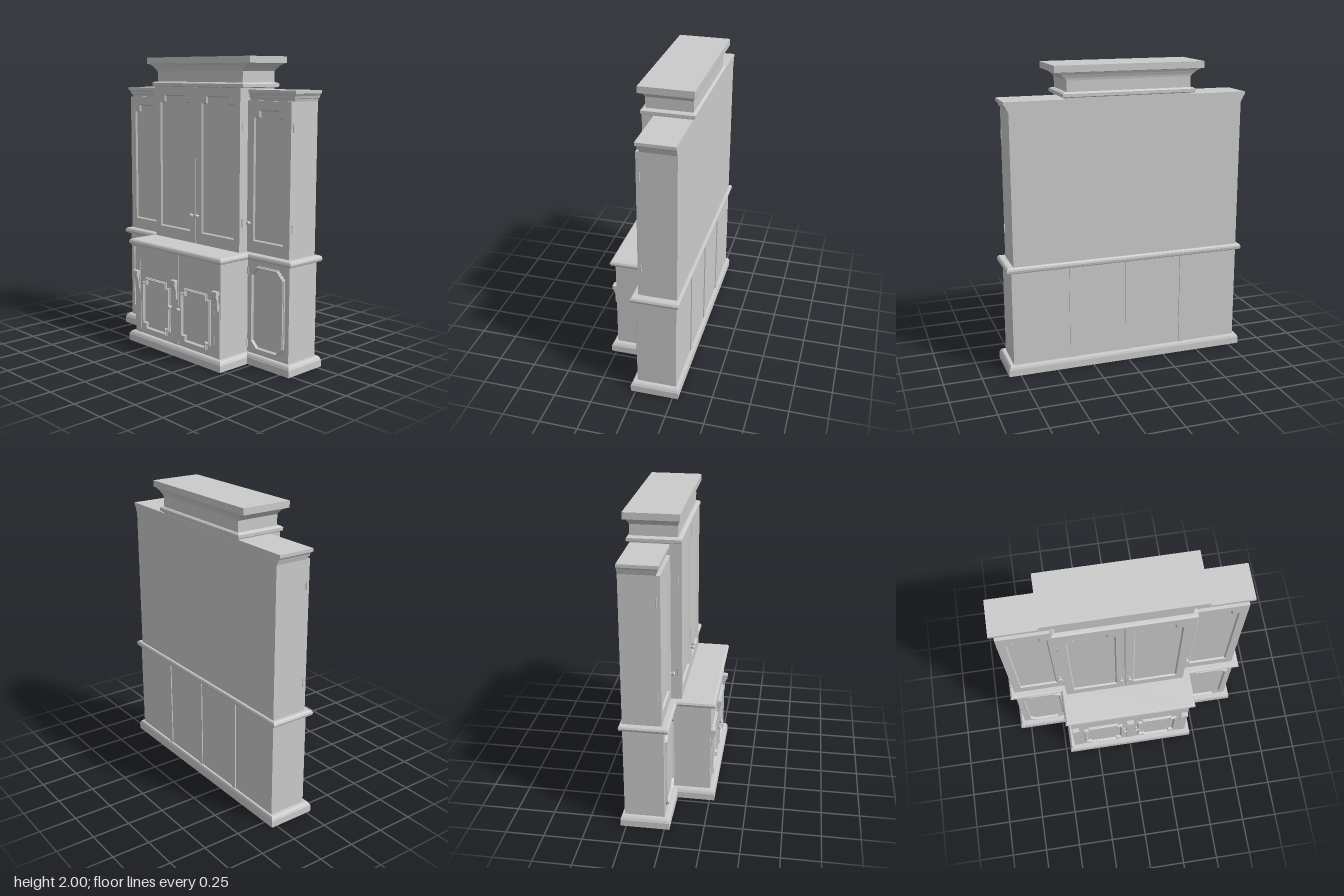
import * as THREE from 'three';

const mat = new THREE.MeshStandardMaterial({ color: 0xcccccc, flatShading: true });
const MID = -0.008; // centre line of the upper cabinet

// Skin a stack of matching outlines (arrays of Vector3), optionally capping the ends
function loft(rings, caps = true) {
  const pos = [];
  const tri = (...v) => v.forEach((p) => pos.push(p.x, p.y, p.z));
  for (let r = 0; r + 1 < rings.length; r++) {
    const a = rings[r], b = rings[r + 1];
    a.forEach((p, i) => {
      const j = (i + 1) % a.length;
      tri(p, a[j], b[j]);
      tri(p, b[j], b[i]);
    });
  }
  if (caps) {
    const flat = rings[0].map((p) => new THREE.Vector2(p.x, -p.z));
    const last = rings[rings.length - 1];
    for (const [a, b, c] of THREE.ShapeUtils.triangulateShape(flat, [])) {
      tri(rings[0][a], rings[0][c], rings[0][b]);
      tri(last[a], last[b], last[c]);
    }
  }
  const g = new THREE.BufferGeometry();
  g.setAttribute('position', new THREE.Float32BufferAttribute(pos, 3));
  g.computeVertexNormals();
  return g;
}

// Breakfront plan grown by o at the front and sides, and by half that at the back
function breakfront(y, o) {
  const W = 0.79 + o, C = 0.43 + o, B = -0.265 - o * 0.6, F = -0.005 + o, CF = 0.245 + o;
  return [[-W, B], [-W, F], [-C, F], [-C, CF], [C, CF], [C, F], [W, F], [W, B]]
    .map(([x, z]) => new THREE.Vector3(x, y, z));
}

// Rectangular plan
const rect = (y, cx, hw, back, front) =>
  [[-hw, back], [-hw, front], [hw, front], [hw, back]].map(([x, z]) => new THREE.Vector3(cx + x, y, z));

// Panel outline with stepped corners, inset by i
function stepped(cx, y0, y1, hw, n, i, bottom = true) {
  const w = hw - i, a = y0 + i, b = y1 - i;
  const low = bottom
    ? [[-w, a + n], [-w + n, a + n], [-w + n, a], [w - n, a], [w - n, a + n], [w, a + n]]
    : [[-w, a], [w, a]];
  return [...low, [w, b - n], [w - n, b - n], [w - n, b], [-w + n, b], [-w + n, b - n], [-w, b - n]]
    .map(([x, y]) => new THREE.Vector2(cx + x, y));
}

// Panel outline with clipped corners, inset by i
function clipped(cx, y0, y1, hw, n, i) {
  const w = hw - i, a = y0 + i, b = y1 - i, k = n - i * 0.586;
  return [[-w, a + k], [-w + k, a], [w - k, a], [w, a + k], [w, b - k], [w - k, b], [-w + k, b], [-w, b - k]]
    .map(([x, y]) => new THREE.Vector2(cx + x, y));
}

// Applied moulding: ridge profile following an outline on a front face
function moulding(outline, z) {
  const profile = [[0, 0], [0.002, 0.008], [0.006, 0.009], [0.008, 0.016], [0.014, 0.016], [0.018, 0.006], [0.022, 0]];
  return loft(profile.map(([i, h]) => outline(i).map((p) => new THREE.Vector3(p.x, p.y, z + h))), false);
}

export function createModel() {
  const model = new THREE.Group();
  const add = (name, geo, x = 0, y = 0, z = 0, parent = model) => {
    const m = new THREE.Mesh(geo, mat);
    m.name = name;
    m.position.set(x, y, z);
    parent.add(m);
    return m;
  };
  const box = (name, x0, x1, y0, y1, z0, z1) =>
    add(name, new THREE.BoxGeometry(x1 - x0, y1 - y0, z1 - z0), (x0 + x1) / 2, (y0 + y1) / 2, (z0 + z1) / 2);

  // Turned knob facing forward
  const knobProfile = [[0.008, 0], [0.006, 0.012], [0.014, 0.018], [0.016, 0.024], [0.011, 0.031], [0, 0.033]]
    .map(([r, h]) => new THREE.Vector2(r, h));
  const knobGeo = new THREE.LatheGeometry(knobProfile, 10).rotateX(Math.PI / 2);
  const knob = (x, y, z) => add('knob', knobGeo, x, y, z);

  const hingeGeo = new THREE.CylinderGeometry(0.005, 0.005, 0.055, 8);
  const hinge = (x, y, z) => add('hinge', hingeGeo, x, y, z);

  // Base cabinet: plinth, carcass and counter
  const stack = (name, profile) => add(name, loft(profile.map(([y, o]) => breakfront(y, o))));
  stack('plinth', [[0, 0.037], [0.045, 0.037], [0.06, 0.03], [0.07, 0.022]]);
  stack('baseCarcass', [[0.07, 0], [0.7, 0]]);
  stack('counter', [[0.7, 0.018], [0.705, 0.028], [0.72, 0.033], [0.733, 0.028], [0.74, 0.02]]);

  // Back stiles
  for (const x of [-0.39, 0, 0.39]) box('backStile', x - 0.018, x + 0.018, 0.07, 0.7, -0.272, -0.264);

  // Pilasters and their corbels on the base front
  const corbelSide = new THREE.Shape([[0, 0.39], [0.01, 0.39], [0.014, 0.41], [0.012, 0.44], [0.018, 0.465],
    [0.027, 0.485], [0.03, 0.5], [0.03, 0.52], [0, 0.52]].map(([z, y]) => new THREE.Vector2(z, y)));
  const corbelGeo = new THREE.ExtrudeGeometry(corbelSide, { depth: 0.034, bevelEnabled: false });
  corbelGeo.rotateY(-Math.PI / 2).translate(0.017, 0, 0);
  for (const x of [-0.4, 0, 0.4]) {
    box('pilaster', x - 0.028, x + 0.028, 0.07, 0.7, 0.235, 0.248);
    add('corbel', corbelGeo, x, 0, 0.247);
    box('corbelCap', x - 0.024, x + 0.024, 0.495, 0.52, 0.245, 0.278);
    box('corbelFoot', x - 0.02, x + 0.02, 0.39, 0.435, 0.245, 0.259);
  }

  // Base doors: stepped mouldings in the centre, clipped ones on the wings
  for (const s of [-1, 1]) {
    add('baseDoorMoulding', moulding((i) => stepped(s * 0.2, 0.105, 0.483, 0.146, 0.035, i), 0.245));
    add('wingDoorMoulding', moulding((i) => clipped(s * 0.61, 0.1, 0.665, 0.145, 0.055, i), -0.005));
    knob(s * 0.045, 0.325, 0.247);
    for (const y of [0.185, 0.385]) hinge(s * 0.376, y, 0.247);
    for (const y of [0.13, 0.62]) hinge(s * 0.432, y, -0.003);
  }

  // Upper carcasses
  box('wingCarcass', MID - 0.782, MID + 0.782, 0.74, 1.725, -0.265, -0.04);
  box('centreCarcass', MID - 0.417, MID + 0.417, 0.74, 1.8, -0.264, 0.03);

  // Upper door: a board with a stepped opening and a bevelled, recessed panel
  function door(name, x0, x1, top, z0, z1, cx, hw, panelTop) {
    const g = new THREE.Group();
    g.name = name;
    model.add(g);
    const outline = (i) => stepped(cx, 0.82, panelTop, hw, 0.045, i, false);
    const board = new THREE.Shape([[x0, 0.742], [x1, 0.742], [x1, top], [x0, top]]
      .map(([x, y]) => new THREE.Vector2(x, y)));
    board.holes.push(new THREE.Path(outline(0)));
    add('doorFrame', new THREE.ExtrudeGeometry(board, { depth: z1 - z0, bevelEnabled: false }), 0, 0, z0, g);
    const rings = [[0, z1], [0.008, z1 - 0.012]];
    add('panelBevel', loft(rings.map(([i, z]) => outline(i).map((p) => new THREE.Vector3(p.x, p.y, z))), false), 0, 0, 0, g);
    add('doorPanel', new THREE.ShapeGeometry(new THREE.Shape(outline(0))), 0, 0, z1 - 0.012, g);
  }
  for (const s of [-1, 1]) {
    const span = (a, b) => [MID + s * a, MID + s * b].sort((p, q) => p - q);
    door('centreDoor', ...span(0.002, 0.417), 1.8, 0.03, 0.055, MID + s * 0.21, 0.153, 1.745);
    door('wingDoor', ...span(0.417, 0.782), 1.722, -0.04, -0.016, MID + s * 0.6, 0.13, 1.665);
    knob(MID + s * 0.028, 0.935, 0.053);
    knob(MID + s * 0.444, 0.935, -0.018);
    for (const y of [0.935, 1.56]) {
      hinge(MID + s * 0.419, y, 0.03);
      hinge(MID + s * 0.784, y, -0.038);
    }
  }

  // Wing cornice, running behind the centre section
  const cornice = [[1.722, 0.002], [1.737, 0.006], [1.74, 0.012], [1.755, 0.016], [1.768, 0.024], [1.77, 0.03], [1.79, 0.03]];
  add('wingCornice', loft(cornice.map(([y, o]) => rect(y, MID, 0.782 + o, -0.265, -0.04 + o * 0.7))));

  // Crown: bead, neck, cove and top slab as [y, half width, back, front]
  const crown = [[1.8, 0.435, -0.275, 0.052], [1.805, 0.443, -0.281, 0.058], [1.825, 0.443, -0.281, 0.058],
    [1.833, 0.43, -0.272, 0.048], [1.835, 0.415, -0.265, 0.032], [1.905, 0.415, -0.265, 0.032],
    [1.92, 0.428, -0.268, 0.036], [1.94, 0.452, -0.276, 0.044], [1.955, 0.482, -0.284, 0.052],
    [1.957, 0.5, -0.29, 0.057], [2, 0.5, -0.29, 0.057]];
  add('crown', loft(crown.map(([y, hw, b, f]) => rect(y, MID, hw, b, f))));

  return model;
}
